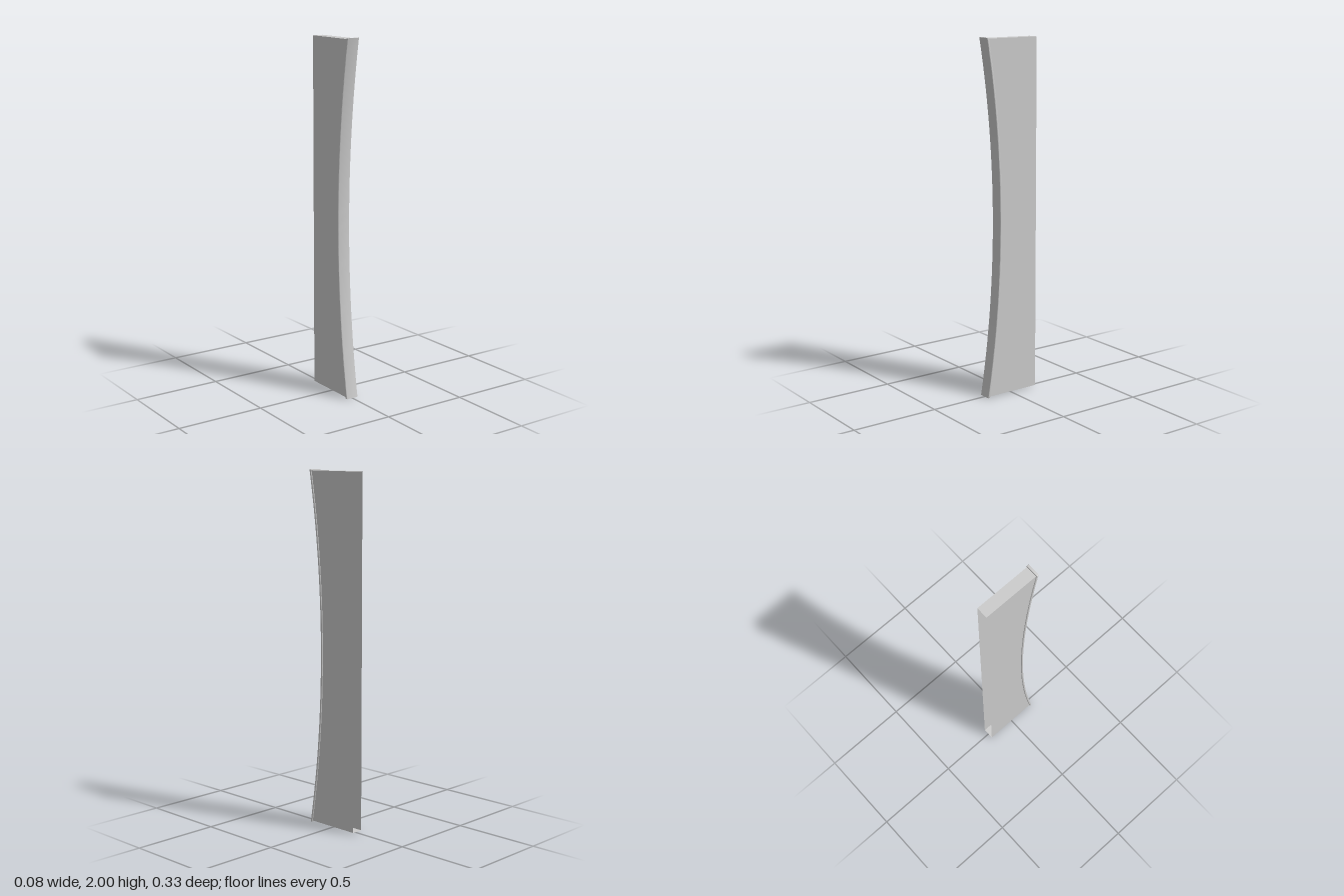
import * as THREE from 'three';
import { toCreasedNormals } from 'three/addons/utils/BufferGeometryUtils.js';

const HALF = 0.0325;                 // half thickness of the panel
const BACK = -0.167;
const BOTTOM = 0.007, TOP = 1.995;
const SAG = 0.085;                   // depth of the concave front
const RADIUS = (1 + SAG * SAG) / (2 * SAG);

// Depth of the concave front edge at height y, for a given depth at the ends
function edgeZ(y, endZ) {
  return endZ - SAG + RADIUS - Math.sqrt(RADIUS * RADIUS - (y - 1) ** 2);
}

function edgePoints(y0, y1, endZ, n = 48) {
  return Array.from({ length: n + 1 }, (_, i) => {
    const y = y0 + (y1 - y0) * i / n;
    return new THREE.Vector2(edgeZ(y, endZ), y);
  });
}

export function createModel() {
  const group = new THREE.Group();
  const material = new THREE.MeshStandardMaterial({ color: 0xcccccc });
  const thin = new THREE.MeshStandardMaterial({ color: 0xcccccc, side: THREE.DoubleSide });

  const add = (name, geometry, mat) => {
    const mesh = new THREE.Mesh(geometry, mat);
    mesh.name = name;
    group.add(mesh);
    return mesh;
  };

  // Side walls of the hollow panel, open at the back
  const sideShape = new THREE.Shape([
    new THREE.Vector2(BACK, BOTTOM),
    ...edgePoints(BOTTOM, TOP, 0.152),
    new THREE.Vector2(BACK, TOP),
  ]);
  for (const side of [-1, 1]) {
    const wall = new THREE.ShapeGeometry(sideShape).rotateY(-Math.PI / 2);
    if (side > 0) {
      // turn the left wall to face outward
      const index = wall.index;
      for (let i = 0; i < index.count; i += 3) {
        const a = index.getX(i);
        index.setX(i, index.getX(i + 1));
        index.setX(i + 1, a);
      }
      wall.computeVertexNormals();
    }
    add(side > 0 ? 'leftWall' : 'rightWall', wall, thin).position.x = side * HALF;
  }

  // Top and bottom end walls
  for (const [name, y, turn] of [['topWall', TOP, -1], ['bottomWall', BOTTOM, 1]]) {
    const depth = edgeZ(y, 0.152) - BACK;
    const wall = new THREE.PlaneGeometry(2 * HALF, depth).rotateX(turn * Math.PI / 2);
    add(name, wall, thin).position.set(0, y, BACK + depth / 2);
  }

  // Slightly wider, rounded strip along the concave front edge
  const bevel = 0.004, width = 0.075;
  const stripShape = new THREE.Shape([
    ...edgePoints(0, 2, 0.165),
    ...edgePoints(2, 0, 0.152),
  ]);
  const strip = new THREE.ExtrudeGeometry(stripShape, {
    depth: width - 2 * bevel,
    bevelEnabled: true,
    bevelThickness: bevel,
    bevelSize: bevel,
    bevelOffset: -bevel,
    bevelSegments: 3,
  });
  strip.translate(0, 0, bevel - width / 2).rotateY(-Math.PI / 2);
  add('frontStrip', toCreasedNormals(strip, 0.7), material);

  return group;
}
